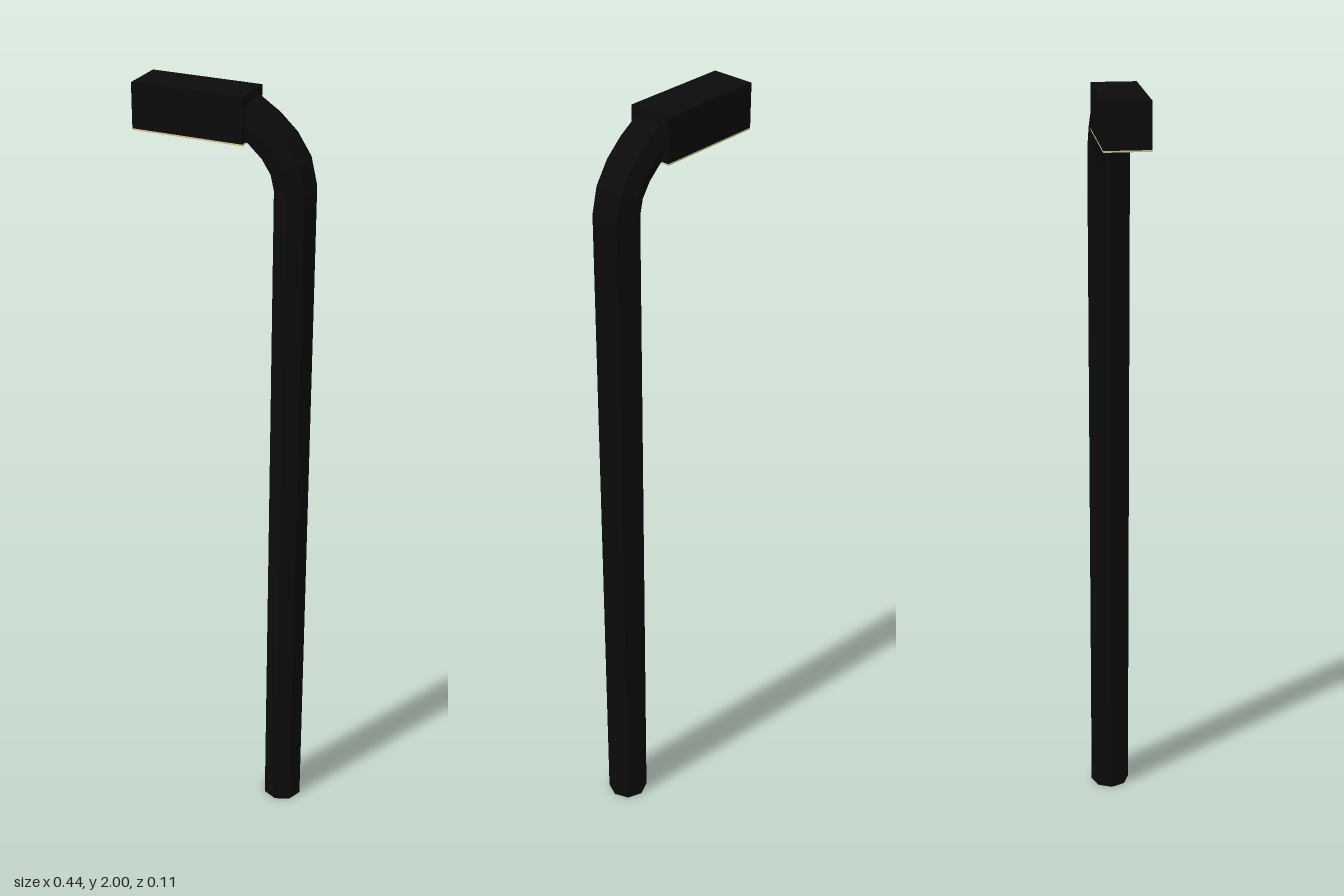
import * as THREE from 'three';

export function createModel() {
  const group = new THREE.Group();
  const black = new THREE.MeshStandardMaterial({ color: 0x0b0b0b, flatShading: true });
  const glow = new THREE.MeshStandardMaterial({ color: 0xd8cc90 });
  const poleX = 0.167, radius = 0.053, bendY = 1.79;

  const add = (name, geometry, material, x = 0, y = 0, z = 0) => {
    const mesh = new THREE.Mesh(geometry, material);
    mesh.name = name;
    mesh.position.set(x, y, z);
    group.add(mesh);
  };

  // Straight eight-sided pole
  add('pole', new THREE.CylinderGeometry(radius, radius, bendY, 8), black, poleX, bendY / 2);

  // Bend that carries the pole over into the lamp head
  const bend = new THREE.QuadraticBezierCurve3(
    new THREE.Vector3(poleX, bendY, 0),
    new THREE.Vector3(0.163, 1.88, 0),
    new THREE.Vector3(0.045, 1.947, 0)
  );
  add('poleBend', new THREE.TubeGeometry(bend, 4, radius, 8), black);

  // Lamp head with a light panel underneath
  const headLength = 0.278, headWidth = 0.11, headX = -0.081;
  add('lampHead', new THREE.BoxGeometry(headLength, 0.108, headWidth), black, headX, 1.946);
  add('lightPanel', new THREE.BoxGeometry(headLength, 0.004, headWidth), glow, headX, 1.89);

  return group;
}
